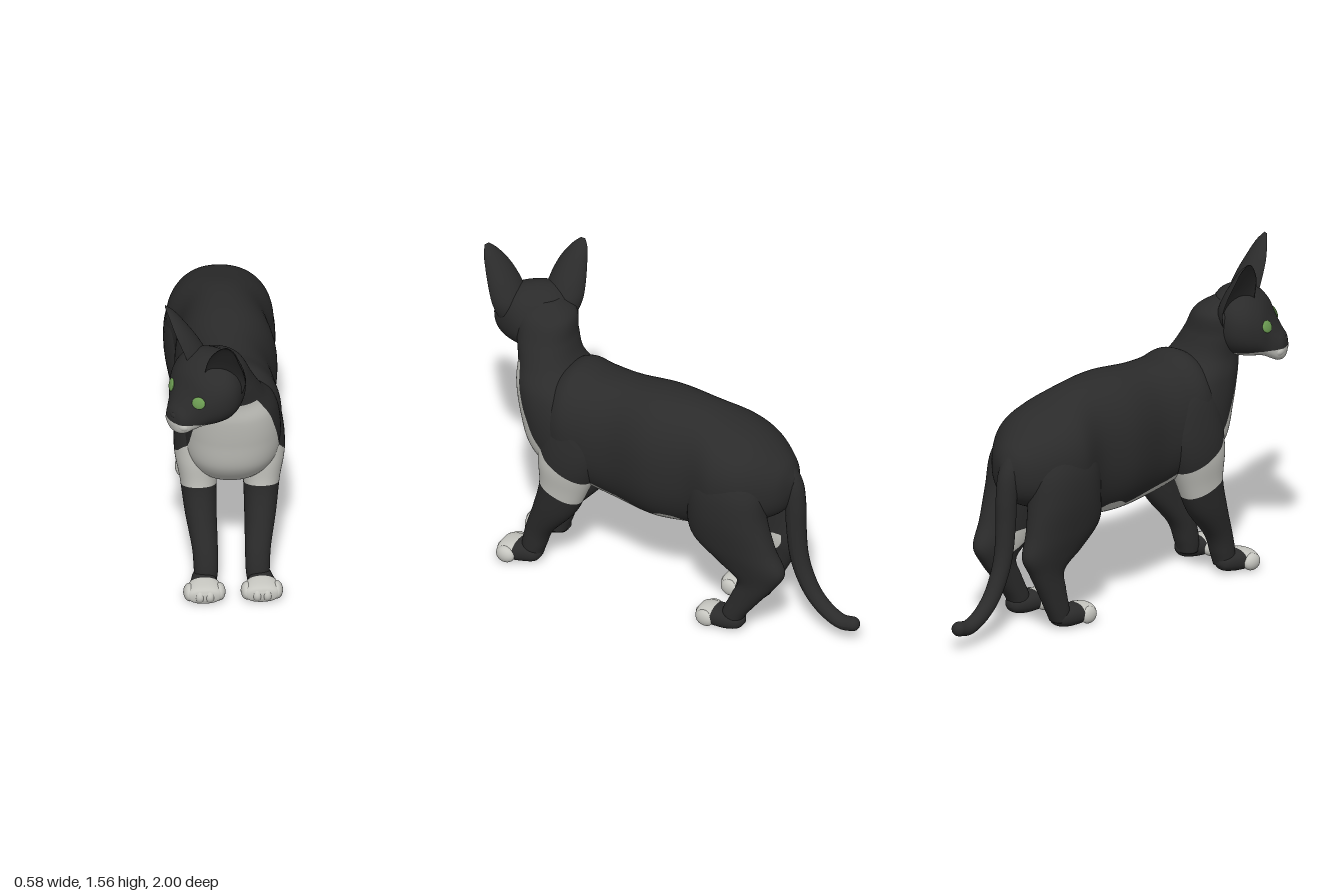
import * as THREE from 'three';

const coat = new THREE.MeshStandardMaterial({ color: 0x2b2b2b });
coat.name = 'black coat';
const white = new THREE.MeshStandardMaterial({ color: 0xc6c6c0 });
white.name = 'white fur';
const iris = new THREE.MeshStandardMaterial({ color: 0x6c9c52 });
iris.name = 'green iris';

const MID = 0.024; // body centre line in x

// Default cross-section: slightly boxy ellipse
const soft = (v) => Math.sign(v) * Math.pow(Math.abs(v), 0.9);
const oval = (a) => [soft(Math.cos(a)), soft(Math.sin(a))];
// Crescent cross-section, hollow towards +z
const crescent = (a) => [Math.cos(a), Math.abs(Math.sin(a)) * (Math.sin(a) > 0 ? 1 : 0.45)];

// Smooth skin over rings [t, cx, c2, rx, r2]; t runs upwards along the axis.
// Axis 'y': centre (cx, t, c2). Axis 'z': centre (cx, c2, t).
// The skin is white where whiteness(p) > 0, and is cut cleanly along that edge.
function loft(name, axis, rings, { steps = 60, sides = 48, whiteness = () => -1, section = oval } = {}) {
  const centres = new THREE.CatmullRomCurve3(
    rings.map(([t, x, c]) => (axis === 'y' ? new THREE.Vector3(x, t, c) : new THREE.Vector3(x, c, t))), false, 'catmullrom');
  const radii = new THREE.CatmullRomCurve3(
    rings.map((r) => new THREE.Vector3(r[3], r[4], 0)), false, 'catmullrom');
  const pts = [];
  for (let i = 0; i <= steps; i++) {
    const c = centres.getPoint(i / steps);
    const r = radii.getPoint(i / steps);
    for (let j = 0; j < sides; j++) {
      const [u, v] = section((j / sides) * Math.PI * 2);
      const du = u * Math.max(r.x, 0.003), dv = v * Math.max(r.y, 0.003);
      pts.push(axis === 'y' ? new THREE.Vector3(c.x + du, c.y, c.z - dv) : new THREE.Vector3(c.x + du, c.y + dv, c.z));
    }
  }
  const first = pts.push(centres.getPoint(0)) - 1;
  const last = pts.push(centres.getPoint(1)) - 1;

  const value = pts.map(whiteness);
  const lists = [[], []];
  const cuts = new Map();
  const side = (i) => (value[i] > 0 ? 1 : 0);
  const cut = (a, b) => {
    const [m, n] = a < b ? [a, b] : [b, a];
    const key = m + '_' + n;
    if (!cuts.has(key)) cuts.set(key, pts.push(pts[m].clone().lerp(pts[n], value[m] / (value[m] - value[n]))) - 1);
    return cuts.get(key);
  };
  const tri = (...t) => {
    const whites = t.filter(side).length;
    if (whites % 3 === 0) return lists[side(t[0])].push(...t);
    const lone = t.findIndex((i) => side(i) === (whites === 1 ? 1 : 0));
    const [a, b, c] = [0, 1, 2].map((k) => t[(lone + k) % 3]);
    const ab = cut(a, b), ac = cut(a, c);
    lists[side(a)].push(a, ab, ac);
    lists[side(b)].push(ab, b, c, ab, c, ac);
  };
  for (let j = 0; j < sides; j++) {
    const k = (j + 1) % sides;
    for (let i = 0; i < steps; i++) {
      const a = i * sides, b = a + sides;
      tri(a + j, a + k, b + k);
      tri(a + j, b + k, b + j);
    }
    tri(first, k, j);
    tri(last, steps * sides + j, steps * sides + k);
  }
  const geo = new THREE.BufferGeometry().setFromPoints(pts);
  geo.setIndex([...lists[0], ...lists[1]]);
  geo.addGroup(0, lists[0].length, 0);
  geo.addGroup(lists[0].length, lists[1].length, 1);
  geo.computeVertexNormals();
  const mesh = new THREE.Mesh(geo, [coat, white]);
  mesh.name = name;
  return mesh;
}

function ellipsoid(name, mat, pos, size) {
  const mesh = new THREE.Mesh(new THREE.SphereGeometry(1, 24, 16), mat);
  mesh.name = name;
  mesh.position.set(...pos);
  mesh.scale.set(...size);
  return mesh;
}

// Upper edge of the white bib and belly, as [z, y]
const bibEdge = [[-0.26, 0.3], [-0.2, 0.49], [-0.12, 0.54], [-0.05, 0.54], [0, 0.51], [0.1, 0.53], [0.25, 0.555],
  [0.33, 0.585], [0.43, 0.63], [0.52, 0.68], [0.6, 0.77], [0.665, 0.9], [0.7, 1.0], [0.725, 1.09], [1.2, 1.09]];
function bib({ y, z }) {
  if (z <= bibEdge[0][0]) return -1;
  const i = bibEdge.findIndex((e) => e[0] > z);
  const [z0, y0] = bibEdge[i - 1], [z1, y1] = bibEdge[i];
  return y0 + ((y1 - y0) * (z - z0)) / (z1 - z0) - y;
}
// White ends at a slanted line above the elbow, and in a patch inside the hind leg
const frontLegWhite = (p) => Math.min(bib(p), p.y - 0.51 - (p.z - 0.58) * 0.36);
const hindLegWhite = (p) => Math.min(p.y - 0.34, 0.45 - p.y, 0.07 - Math.abs(p.x - MID));

// Paw with a white front and four toes; z is the tip of the toes
function makePaw(name, x, z, length, half) {
  const paw = new THREE.Group();
  paw.name = name;
  const back = z - length;
  paw.add(loft('pawPad', 'z', [
    [back, x, 0.06, 0.015, 0.015], [back + 0.025, x, 0.055, 0.045, 0.038], [back + 0.09, x, 0.052, 0.062, 0.05],
    [z - 0.07, x, 0.05, half * 0.88, 0.047], [z - 0.025, x, 0.045, half * 0.8, 0.04], [z - 0.01, x, 0.045, 0.03, 0.015],
  ], { steps: 30, sides: 28, whiteness: (p) => p.z - z + 0.1 }));
  for (let i = 0; i < 4; i++) {
    const t = (i - 1.5) / 1.5;
    paw.add(ellipsoid('toe', white, [x + t * half * 0.7, 0.044, z - 0.047 - 0.02 * t * t], [half * 0.31, 0.041, 0.047]));
  }
  return paw;
}

function makeLegs(s, label) {
  const legs = new THREE.Group();
  legs.name = label + 'Legs';
  const at = (off) => MID + s * off;
  // Front leg, with the shoulder at its top
  legs.add(loft(label + 'FrontLeg', 'y', [
    [0.04, at(0.12), 0.65, 0.05, 0.045], [0.1, at(0.12), 0.643, 0.056, 0.058], [0.2, at(0.123), 0.612, 0.06, 0.068],
    [0.35, at(0.138), 0.525, 0.074, 0.105], [0.5, at(0.146), 0.47, 0.086, 0.122], [0.65, at(0.147), 0.44, 0.11, 0.155],
    [0.8, at(0.13), 0.42, 0.115, 0.17], [0.95, at(0.108), 0.41, 0.095, 0.14], [1.03, at(0.09), 0.4, 0.03, 0.04],
  ], { whiteness: frontLegWhite }));
  legs.add(makePaw(label + 'FrontPaw', at(0.133), 0.82, 0.22, 0.097));
  // Hind leg, with the hock set further back on the left
  const h = s > 0 ? 0 : 0.05;
  legs.add(loft(label + 'HindLeg', 'y', [
    [0.04, at(0.135), -0.42, 0.045, 0.045], [0.1, at(0.135), -0.435, 0.05, 0.06], [0.2, at(0.135), -0.495 + h / 2, 0.052, 0.075],
    [0.3, at(0.135), -0.55 + h, 0.058, 0.098], [0.39, at(0.137), -0.515 + h, 0.075, 0.18], [0.5, at(0.142), -0.43 + h / 2, 0.095, 0.215],
    [0.65, at(0.142), -0.395, 0.116, 0.2], [0.8, at(0.128), -0.385, 0.122, 0.185], [0.93, at(0.1), -0.37, 0.095, 0.135],
    [1.0, at(0.08), -0.36, 0.03, 0.05],
  ], { whiteness: hindLegWhite }));
  legs.add(makePaw(label + 'HindPaw', at(0.135), -0.215 - (s > 0 ? 0.02 : 0), 0.25, 0.075));
  return legs;
}

// Head, modelled facing +z and then turned to the right
function makeHead() {
  const head = new THREE.Group();
  head.name = 'head';
  head.add(loft('skull', 'z', [
    [-0.185, 0, -0.02, 0.02, 0.02], [-0.165, 0, -0.02, 0.08, 0.075], [-0.11, 0, 0, 0.145, 0.135],
    [-0.03, 0, 0, 0.192, 0.163], [0.04, 0, -0.01, 0.188, 0.156], [0.1, 0, -0.035, 0.15, 0.13],
    [0.14, 0, -0.08, 0.104, 0.102], [0.17, 0, -0.11, 0.08, 0.08], [0.196, 0, -0.122, 0.055, 0.054], [0.208, 0, -0.122, 0.015, 0.015],
  ], { whiteness: (p) => -0.12 - 0.06 * Math.max(0, 0.1 - p.z) - p.y }));
  head.add(ellipsoid('nose', coat, [0, -0.09, 0.193], [0.024, 0.016, 0.014]));
  for (const s of [1, -1]) {
    head.add(ellipsoid('muzzleCheek', white, [s * 0.034, -0.132, 0.17], [0.042, 0.034, 0.032]));
    const eye = ellipsoid('eye', iris, [s * 0.1, 0, 0.128], [0.033, 0.029, 0.009]);
    eye.rotation.set(-0.3, s * 0.5, s * 0.25, 'YXZ');
    head.add(eye);
    // The ear root runs down into the side of the skull
    const ear = loft('ear', 'y', [
      [-0.14, s * -0.02, -0.005, 0.03, 0.03], [-0.08, s * -0.008, 0, 0.075, 0.065], [0, 0, 0.02, 0.096, 0.088],
      [0.08, s * 0.005, 0.05, 0.09, 0.08], [0.16, s * 0.012, 0.085, 0.07, 0.06],
      [0.225, s * 0.026, 0.112, 0.042, 0.032], [0.262, s * 0.034, 0.13, 0.012, 0.008],
    ], { steps: 42, sides: 36, section: crescent });
    ear.position.set(s * 0.12, 0.08, -0.02);
    ear.rotation.y = s * 0.63;
    head.add(ear);
  }
  head.position.set(-0.1, 1.22, 0.775);
  head.rotation.y = -0.945;
  return head;
}

// Tapered tail, hanging down and curling out at the tip
function makeTail() {
  const tail = new THREE.Group();
  tail.name = 'tail';
  const path = new THREE.CatmullRomCurve3([[0.91, -0.5], [0.87, -0.58], [0.79, -0.64], [0.68, -0.66], [0.55, -0.665], [0.4, -0.68],
    [0.3, -0.71], [0.2, -0.765], [0.13, -0.84], [0.1, -0.91], [0.108, -0.966]].map(([y, z]) => new THREE.Vector3(-0.008, y, z)));
  const steps = 60, sides = 20;
  const geo = new THREE.TubeGeometry(path, steps, 0.057, sides);
  const pos = geo.attributes.position;
  const v = new THREE.Vector3();
  for (let i = 0; i < pos.count; i++) {
    const t = Math.floor(i / (sides + 1)) / steps;
    v.fromBufferAttribute(pos, i).lerp(path.getPointAt(t), 0.4 * t);
    pos.setXYZ(i, v.x, v.y, v.z);
  }
  geo.computeVertexNormals();
  const tube = new THREE.Mesh(geo, coat);
  tube.name = 'tailLength';
  tail.add(tube, ellipsoid('tailTip', coat, [-0.008, 0.108, -0.966], [0.034, 0.034, 0.034]));
  return tail;
}

export function createModel() {
  const cat = new THREE.Group();
  cat.name = 'cat';
  cat.add(loft('torso', 'z', [
    [-0.67, 0, 0.8, 0.03, 0.04], [-0.62, 0.01, 0.785, 0.12, 0.135], [-0.5, MID, 0.8, 0.215, 0.215], [-0.36, MID, 0.795, 0.25, 0.272],
    [-0.2, 0.028, 0.79, 0.217, 0.32], [0, 0.033, 0.785, 0.238, 0.335], [0.2, 0.03, 0.785, 0.213, 0.32],
    [0.35, 0.03, 0.8, 0.228, 0.3], [0.47, 0.033, 0.825, 0.23, 0.285], [0.56, 0.033, 0.81, 0.18, 0.23], [0.62, 0.03, 0.8, 0.06, 0.1],
  ], { steps: 110, sides: 72, whiteness: bib }));
  cat.add(loft('neckAndChest', 'y', [
    [0.5, 0.03, 0.42, 0.06, 0.07], [0.56, 0.03, 0.43, 0.16, 0.17], [0.68, 0.033, 0.475, 0.215, 0.225], [0.84, 0.035, 0.525, 0.222, 0.217],
    [0.98, 0.028, 0.573, 0.205, 0.196], [1.08, 0.008, 0.632, 0.165, 0.145], [1.18, -0.025, 0.67, 0.148, 0.137],
    [1.28, -0.053, 0.69, 0.125, 0.135], [1.34, -0.07, 0.71, 0.06, 0.07],
  ], { steps: 90, sides: 72, whiteness: bib }));
  cat.add(makeLegs(1, 'left'), makeLegs(-1, 'right'), makeHead(), makeTail());
  return cat;
}
